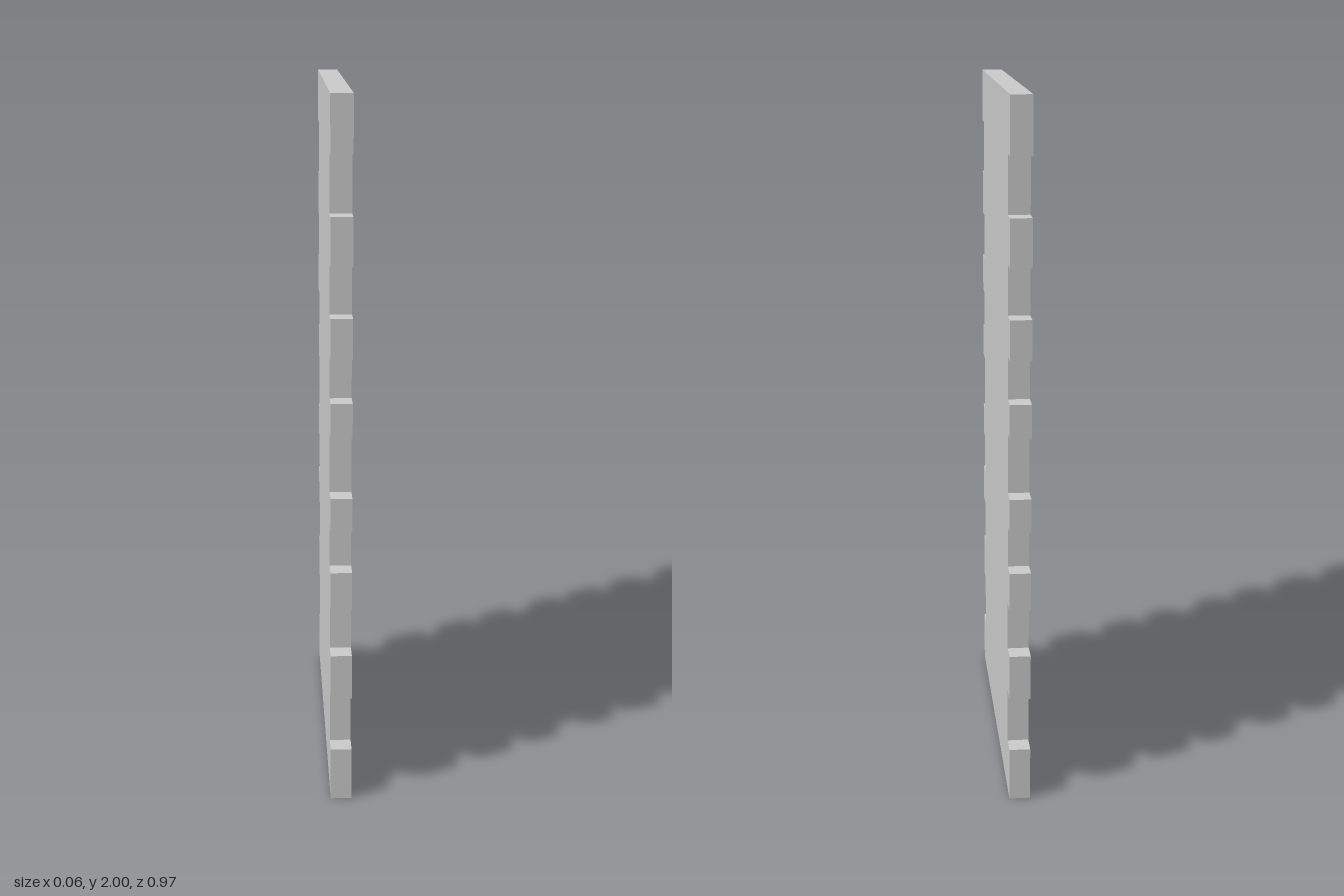
import * as THREE from 'three';

const HALF_WIDTH = 0.485;  // to the outer face of the tabs
const NOTCH = 0.427;       // to the bottom of the notches
const THICKNESS = 0.06;

// Heights where the edge steps in or out, lower half; mirrored about y = 1
const lower = [0.156, 0.315, 0.447, 0.585, 0.697, 0.817, 0.914];
const steps = [...lower, ...lower.map((y) => 2 - y).reverse()];

// One side edge from bottom to top, starting on a tab
function edge() {
  const points = [[HALF_WIDTH, 0]];
  let out = true;
  for (const y of steps) {
    points.push([out ? HALF_WIDTH : NOTCH, y], [out ? NOTCH : HALF_WIDTH, y]);
    out = !out;
  }
  points.push([HALF_WIDTH, 2]);
  return points;
}

export function createModel() {
  const group = new THREE.Group();
  group.name = 'fingerJointPanel';

  // Outline: right edge up, mirrored edge down
  const up = edge();
  const down = edge().reverse().map(([x, y]) => [-x, y]);
  const shape = new THREE.Shape([...up, ...down].map(([x, y]) => new THREE.Vector2(x, y)));

  // Flat panel, turned so that its thickness runs along x
  const geometry = new THREE.ExtrudeGeometry(shape, { depth: THICKNESS, bevelEnabled: false });
  geometry.translate(0, 0, -THICKNESS / 2);
  geometry.rotateY(Math.PI / 2);

  const panel = new THREE.Mesh(geometry, new THREE.MeshStandardMaterial({ color: 0xcccccc, flatShading: true }));
  panel.name = 'notchedPanel';
  group.add(panel);
  return group;
}
